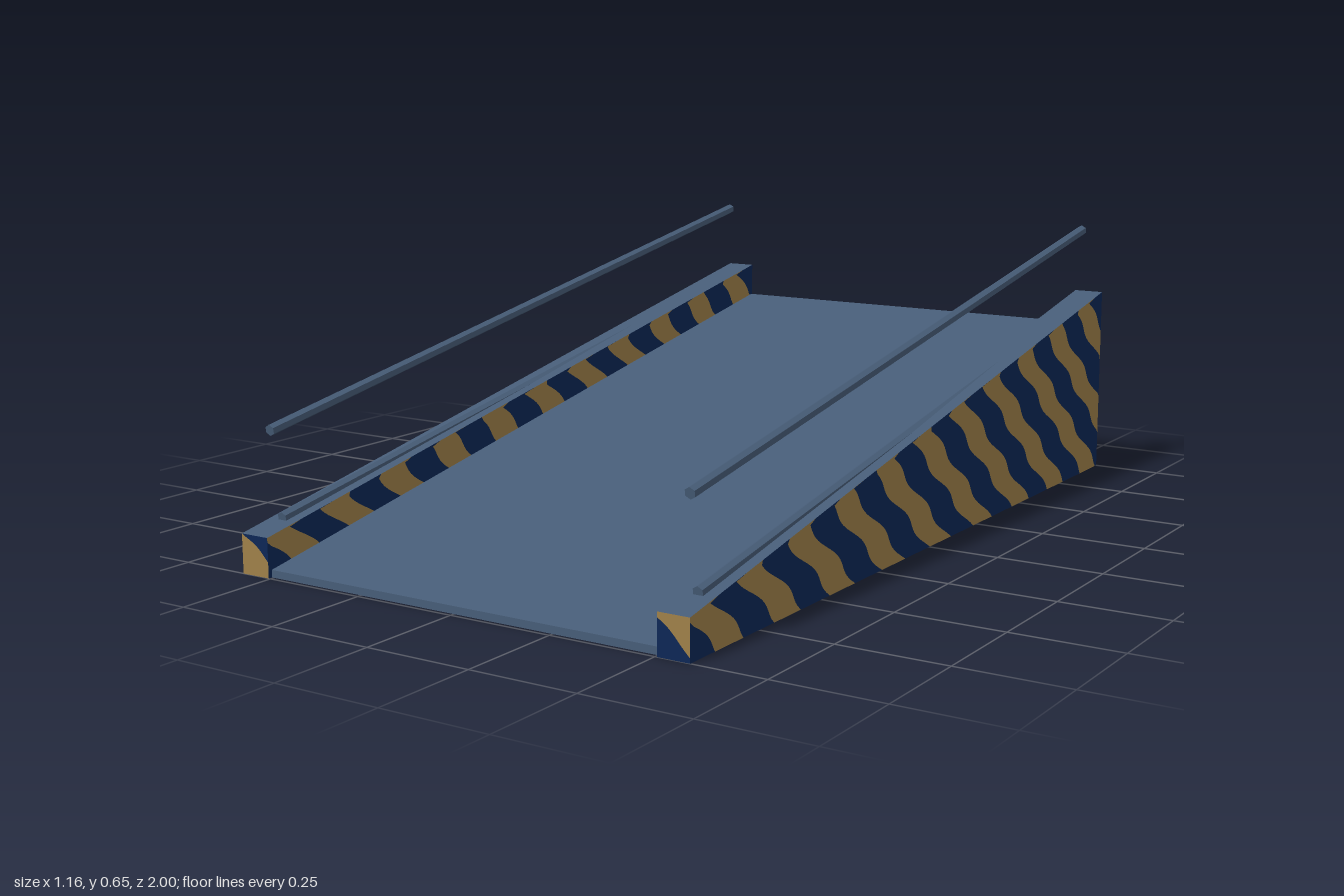
import * as THREE from 'three';

const flat = (name, color, side = THREE.FrontSide) => {
  const m = new THREE.MeshStandardMaterial({ color, side });
  m.name = name;
  return m;
};

// Wall outline: top edge rises from the front (z = 1) to the back (z = -1)
const FRONT_H = 0.09, BACK_H = 0.47, SLOPE = (BACK_H - FRONT_H) / 2;
const INNER = 0.505, OUTER = 0.58;

// Flat sheet cut into wavy diagonal bands of two alternating materials.
// place(u, v) gives the point; each row v spans u = 0-th to 1st entry of range(v).
function stripedSheet(name, materials, { place, range, vMax, rows, period, shear, phase, flip, wave = 0.012 }) {
  const lists = [[], []];
  const edge = (k, v) => phase + k * period / 2 + v * shear
    + (k % 2 ? 0.006 : 0) + wave * Math.sin(v * 55 + k * 0.4);
  const clampTo = (u, v) => {
    const [a, b] = range(v);
    return Math.min(Math.max(u, a), b);
  };
  for (let i = 0; i < rows; i++) {
    const v0 = vMax * i / rows, v1 = vMax * (i + 1) / rows;
    for (let k = -40; k < 40; k++) {
      const a = clampTo(edge(k, v0), v0), b = clampTo(edge(k + 1, v0), v0);
      const d = clampTo(edge(k, v1), v1), c = clampTo(edge(k + 1, v1), v1);
      if (b - a < 1e-6 && c - d < 1e-6) continue;
      const q = [place(a, v0), place(b, v0), place(c, v1), place(d, v1)];
      const order = flip ? [0, 2, 1, 0, 3, 2] : [0, 1, 2, 0, 2, 3];
      for (const n of order) lists[Math.abs(k) % 2].push(...q[n]);
    }
  }
  const geo = new THREE.BufferGeometry();
  geo.setAttribute('position', new THREE.Float32BufferAttribute(lists[0].concat(lists[1]), 3));
  geo.addGroup(0, lists[0].length / 3, 0);
  geo.addGroup(lists[0].length / 3, lists[1].length / 3, 1);
  // every sheet is planar, so one shared normal is enough
  const o = new THREE.Vector3(...place(0, 0));
  const n = new THREE.Vector3(...place(1, 0)).sub(o).cross(new THREE.Vector3(...place(0, 1)).sub(o)).normalize();
  if (flip) n.negate();
  const normals = [];
  for (let i = 0; i < geo.attributes.position.count; i++) normals.push(n.x, n.y, n.z);
  geo.setAttribute('normal', new THREE.Float32BufferAttribute(normals, 3));
  const mesh = new THREE.Mesh(geo, materials);
  mesh.name = name;
  return mesh;
}

export function createModel() {
  const slate = flat('slate blue', 0x475d78);
  const navy = flat('navy stripe', 0x0c2756, THREE.DoubleSide);
  const gold = flat('gold stripe', 0xa08149, THREE.DoubleSide);
  const stripes = [navy, gold];
  const model = new THREE.Group();
  model.name = 'ramp';

  // Sloping deck: solid wedge extruded across the width
  const profile = new THREE.Shape([[-0.99, 0], [0.995, 0], [0.995, 0.385], [-0.99, 0.017]]
    .map(([x, y]) => new THREE.Vector2(x, y)));
  const deckGeo = new THREE.ExtrudeGeometry(profile, { depth: 2 * INNER, bevelEnabled: false });
  deckGeo.translate(0, 0, -INNER).rotateY(Math.PI / 2);
  const deck = new THREE.Mesh(deckGeo, slate);
  deck.name = 'deck';
  model.add(deck);

  // Hexagonal bar between two heights, running front to back
  const bar = (name, x, y0, z0, y1, z1) => {
    const a = new THREE.Vector3(x, y0, z0), b = new THREE.Vector3(x, y1, z1);
    const geo = new THREE.CylinderGeometry(0.013, 0.013, a.distanceTo(b), 6).toNonIndexed();
    geo.computeVertexNormals();
    geo.rotateX(-Math.PI / 2);
    const mesh = new THREE.Mesh(geo, slate);
    mesh.position.copy(a).lerp(b, 0.5);
    mesh.lookAt(b);
    mesh.name = name;
    return mesh;
  };

  for (const side of [1, -1]) {
    const wall = new THREE.Group();
    wall.name = side > 0 ? 'leftWall' : 'rightWall';

    // Tall striped faces, outside and inside
    for (const [name, x, facing] of [['outerFace', OUTER, side], ['innerFace', INNER, -side]]) {
      wall.add(stripedSheet(name, stripes, {
        place: (u, v) => [side * x, v, u],
        range: v => [-1, Math.min(1, (BACK_H - v) / SLOPE - 1)],
        vMax: BACK_H, rows: 47, period: 0.225, shear: facing * 1.2, phase: 0.23, flip: facing > 0,
      }));
    }

    // Front and back ends
    const ends = [
      ['frontEnd', 1, FRONT_H, 0.22, side > 0 ? -0.04 : 0.035, -0.8 * side],
      ['backEnd', -1, BACK_H, 0.15, 0.02, 0.8 * side],
    ];
    for (const [name, z, h, period, phase, shear] of ends) {
      wall.add(stripedSheet(name, stripes, {
        place: (u, v) => [side * (INNER + v), u, z],
        range: () => [0, h],
        vMax: OUTER - INNER, rows: 8, period, shear, phase, flip: side * z > 0, wave: 0.006,
      }));
    }

    // Underside
    wall.add(stripedSheet('underside', stripes, {
      place: (u, v) => [side * (INNER + v), 0, u],
      range: () => [-1, 1],
      vMax: OUTER - INNER, rows: 8, period: 0.225, shear: 0.5, phase: 0.23, flip: side < 0,
    }));

    // Plain sloping top
    const topGeo = new THREE.PlaneGeometry(OUTER - INNER, Math.hypot(2, BACK_H - FRONT_H));
    topGeo.rotateX(-Math.PI / 2 + Math.atan(SLOPE));
    const top = new THREE.Mesh(topGeo, slate);
    top.position.set(side * (INNER + OUTER) / 2, (FRONT_H + BACK_H) / 2, 0);
    top.name = 'wallTop';
    wall.add(top);
    model.add(wall);

    // Raised handrail and the lower rail sinking into the wall top
    const x = side * 0.5425;
    model.add(bar('handrail', x, 0.312, 0.942, 0.638, -0.938));
    model.add(bar('lowerRail', x, 0.112, 0.915, 0.438, -0.938));
  }
  return model;
}
